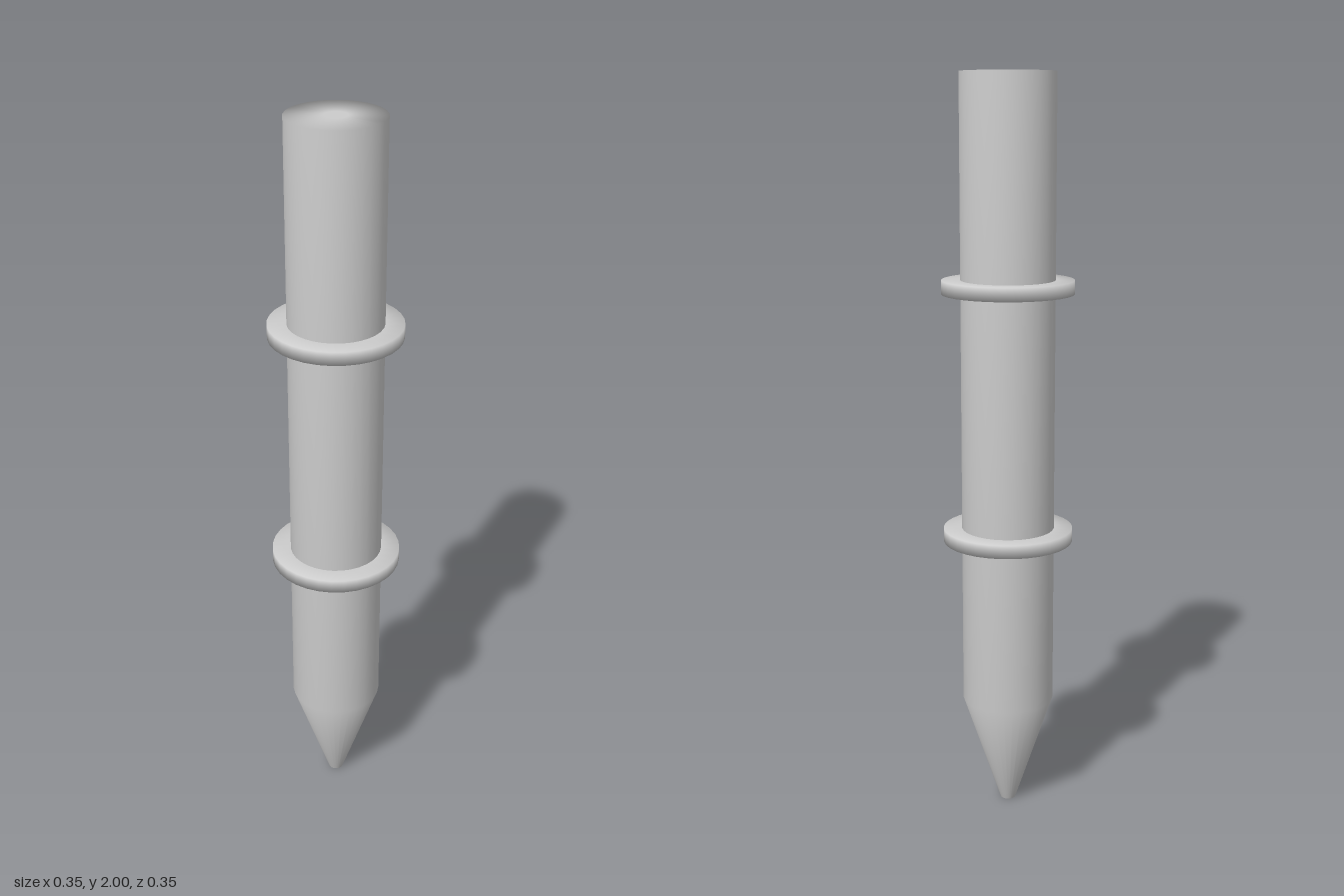
import * as THREE from 'three';

const SIDES = 32;

export function createModel() {
  const model = new THREE.Group();
  const material = new THREE.MeshStandardMaterial({ color: 0xcccccc });

  // Revolves a profile of [radius, height] pairs, listed bottom to top
  const turn = (name, profile) => {
    const points = profile.map(([r, y]) => new THREE.Vector2(r, y));
    const mesh = new THREE.Mesh(new THREE.LatheGeometry(points, SIDES), material);
    mesh.name = name;
    model.add(mesh);
    return mesh;
  };

  // Round post with a blunt pointed foot and a flat, softly shaded top
  turn('post', [
    [0, 0], [0.021, 0], [0.125, 0.31], [0.125, 2], [0.03, 2], [0, 2],
  ]);

  // Two thin collars around the post
  const collars = { lowerCollar: 0.785, upperCollar: 1.457 };
  for (const [name, y] of Object.entries(collars)) {
    turn(name, [
      [0.12, -0.018], [0.175, -0.018], [0.175, 0.018], [0.12, 0.018],
    ]).position.y = y;
  }

  return model;
}
